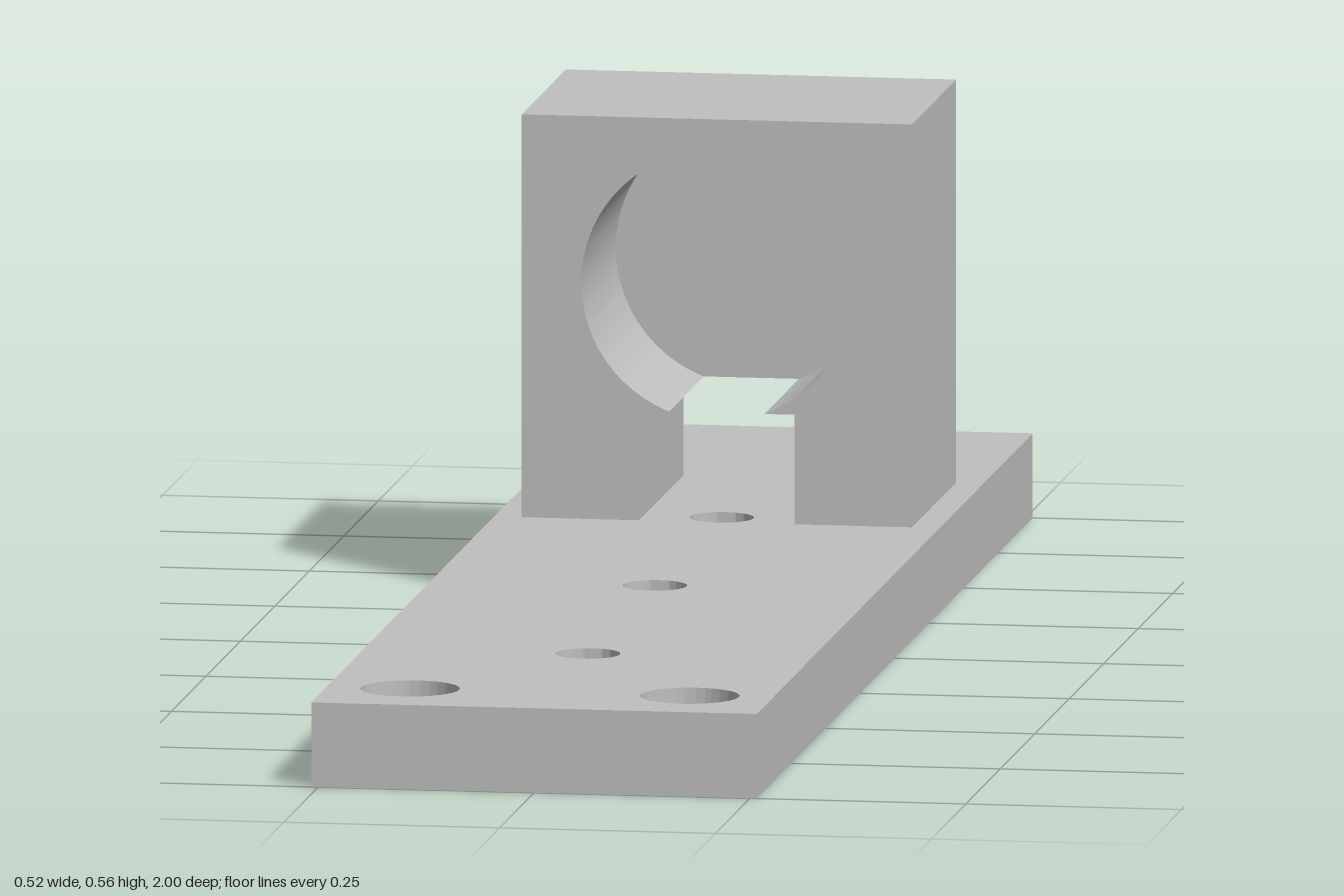
import * as THREE from 'three';
import { toCreasedNormals } from 'three/addons/utils/BufferGeometryUtils.js';

const PLATE_TOP = 0.098;
const BLOCK = { halfWidth: 0.226, top: 0.565, front: -0.325, back: -0.645 };
const SLOT = { halfWidth: 0.09, top: 0.225 };
const BORE = { y: 0.372, radius: 0.157, depth: 0.25 };

function extrude(shape, depth) {
  const geometry = new THREE.ExtrudeGeometry(shape, { depth, bevelEnabled: false, curveSegments: 48 });
  return toCreasedNormals(geometry, Math.PI / 6);
}

// Flat plate with vertical through holes; shape y is -z
function plateGeometry() {
  const w = 0.258;
  const shape = new THREE.Shape();
  shape.moveTo(-w, -1).lineTo(w, -1).lineTo(w, 1).lineTo(-w, 1).closePath();
  const holes = [
    [0, -0.36, 0.037], [0, 0.125, 0.037], [0, 0.61, 0.037],
    [-0.162, 0.885, 0.057], [0.162, 0.885, 0.057],
  ];
  for (const [x, z, r] of holes) {
    shape.holes.push(new THREE.Path().absarc(x, -z, r, 0, Math.PI * 2, true));
  }
  return extrude(shape, PLATE_TOP).rotateX(-Math.PI / 2);
}

// Block outline with a bottom slot, optionally opening into the round bore
function blockShape(withBore) {
  const { halfWidth: w, top } = BLOCK;
  const { halfWidth: s, top: slotTop } = SLOT;
  const shape = new THREE.Shape();
  shape.moveTo(-w, PLATE_TOP).lineTo(-s, PLATE_TOP).lineTo(-s, slotTop);
  if (withBore) {
    const drop = slotTop - BORE.y;
    const chord = Math.sqrt(BORE.radius ** 2 - drop ** 2);
    shape.lineTo(-chord, slotTop);
    shape.absarc(0, BORE.y, BORE.radius, Math.atan2(drop, -chord), Math.atan2(drop, chord), true);
  }
  shape.lineTo(s, slotTop).lineTo(s, PLATE_TOP).lineTo(w, PLATE_TOP);
  shape.lineTo(w, top).lineTo(-w, top).closePath();
  return shape;
}

export function createModel() {
  const group = new THREE.Group();
  group.name = 'mountingBracket';
  const grey = new THREE.MeshStandardMaterial({ color: 0xc0c0c0 });
  grey.name = 'grey';

  function add(name, geometry, z = 0) {
    const mesh = new THREE.Mesh(geometry, grey);
    mesh.name = name;
    mesh.position.z = z;
    group.add(mesh);
  }

  add('basePlate', plateGeometry());
  // Bored front of the block, closed behind by a slotted back wall
  const boreEnd = BLOCK.front - BORE.depth;
  add('boredBlock', extrude(blockShape(true), BORE.depth), boreEnd);
  add('blockBackWall', extrude(blockShape(false), boreEnd - BLOCK.back), BLOCK.back);
  return group;
}
